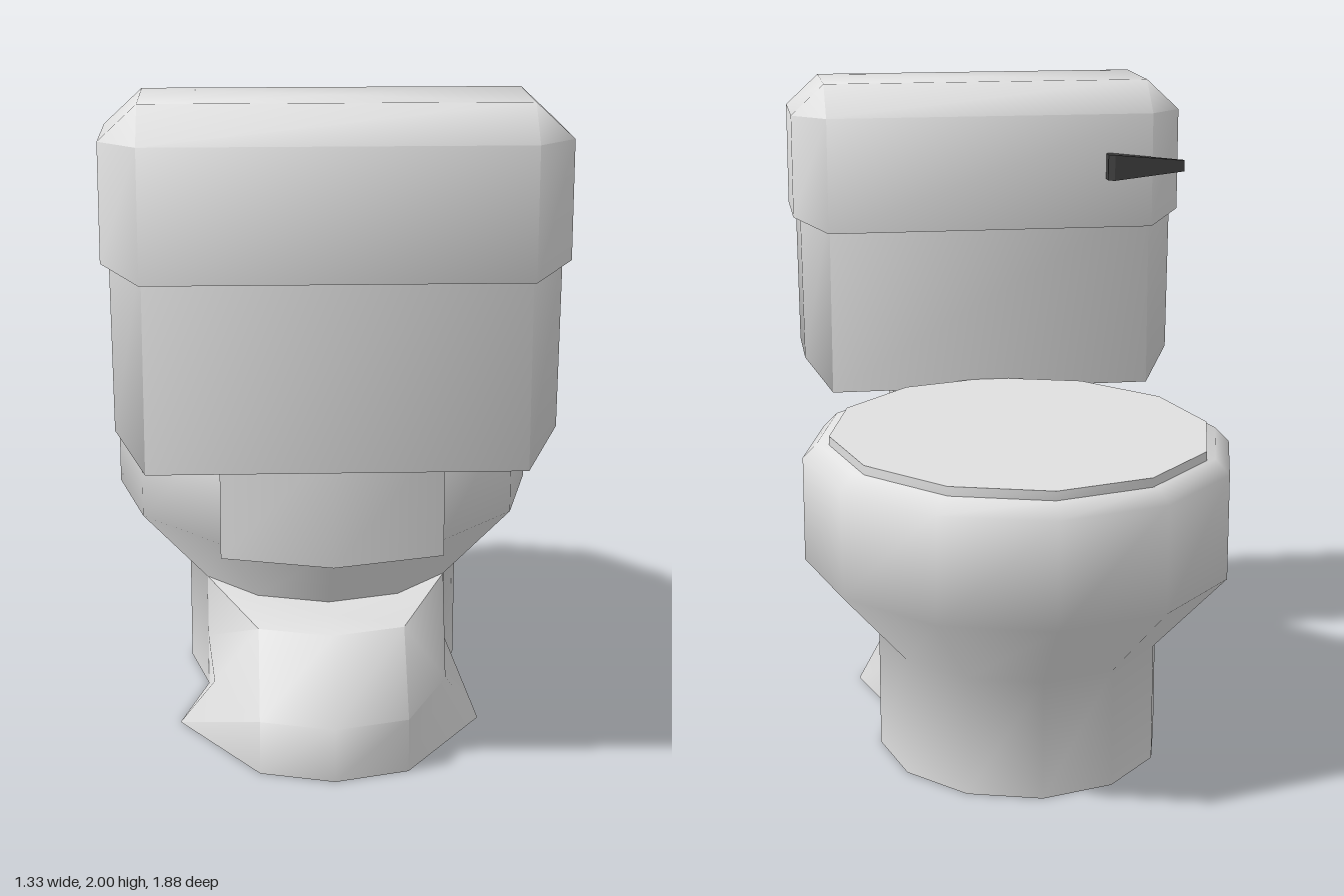
import * as THREE from 'three';
import { toCreasedNormals } from 'three/addons/utils/BufferGeometryUtils.js';

// Skin closed rings of [x, y, z], ordered +z to +x, from bottom to top.
function loft(rings, crease = 0.95, capTop = true) {
  const pos = [];
  const tri = (...corners) => {
    const [a, b, c] = corners.map((p) => new THREE.Vector3(...p));
    const area = b.clone().sub(a).cross(c.clone().sub(a)).length();
    if (area > 1e-6) corners.forEach((p) => pos.push(...p));
  };
  const centre = (ring) => [0, 1, 2].map((k) => ring.reduce((s, p) => s + p[k], 0) / ring.length);
  const n = rings[0].length;
  const first = rings[0], last = rings[rings.length - 1];
  const c0 = centre(first), c1 = centre(last);
  for (let i = 0; i < n; i++) {
    const j = (i + 1) % n;
    for (let r = 0; r < rings.length - 1; r++) {
      const lo = rings[r], hi = rings[r + 1];
      tri(lo[i], lo[j], hi[j]);
      tri(lo[i], hi[j], hi[i]);
    }
    tri(first[j], first[i], c0);
    if (capTop) tri(last[i], last[j], c1);
  }
  const geo = new THREE.BufferGeometry();
  geo.setAttribute('position', new THREE.Float32BufferAttribute(pos, 3));
  return toCreasedNormals(geo, crease);
}

// Twelve-sided oval ring.
function oval(y, rx, rz, zc) {
  return Array.from({ length: 12 }, (_, i) => {
    const a = (i * Math.PI) / 6;
    return [rx * Math.sin(a), y, zc + rz * Math.cos(a)];
  });
}

// Ring mirrored in x from its right half [x, z]; the first point is on the axis.
function mirrored(y, half) {
  const right = half.map(([x, z]) => [x, y, z]);
  const left = half.slice(1).reverse().map(([x, z]) => [-x, y, z]);
  return [...right, ...left];
}

// Chamfered rectangle: inner corners (xi, zo) at yi, outer corners (xo, zi) at yo.
function octagon(xi, xo, zi, zo, yi, yo, zc) {
  return [
    [xi, yi, zc + zo], [xo, yo, zc + zi], [xo, yo, zc - zi], [xi, yi, zc - zo],
    [-xi, yi, zc - zo], [-xo, yo, zc - zi], [-xo, yo, zc + zi], [-xi, yi, zc + zo],
  ];
}

export function createModel() {
  const group = new THREE.Group();
  const porcelain = new THREE.MeshStandardMaterial({ color: 0xe0e0e0 });
  porcelain.name = 'porcelain';
  const darkMetal = new THREE.MeshStandardMaterial({ color: 0x404040 });
  darkMetal.name = 'darkMetal';

  const add = (name, geometry, material = porcelain) => {
    const mesh = new THREE.Mesh(geometry, material);
    mesh.name = name;
    group.add(mesh);
  };

  // Pedestal and bowl in one flowing shape
  add('bowl', loft([
    oval(0, 0.44, 0.49, -0.2),
    oval(0.37, 0.44, 0.49, -0.2),
    oval(0.62, 0.665, 0.74, -0.2),
    oval(0.945, 0.665, 0.74, -0.2),
    oval(0.99, 0.62, 0.695, -0.2),
  ]));

  // Closed seat cover
  add('seatCover', loft([
    oval(0.98, 0.585, 0.665, -0.23),
    oval(1.018, 0.585, 0.665, -0.23),
  ]));

  // Shelf joining the bowl to the tank
  const shelf = [[0, 0.665], [0.33, 0.57], [0.33, 0.3]];
  add('tankShelf', loft([mirrored(0.62, shelf), mirrored(0.988, shelf)]));

  // Foot spreading out under the tank
  add('foot', loft([
    mirrored(0, [[0, 0.79], [0.22, 0.725], [0.465, 0.35], [0.38, 0.045]]),
    mirrored(0.165, [[0, 0.79], [0.22, 0.725], [0.356, 0.417], [0.38, 0.045]]),
    mirrored(0.37, [[0, 0.57], [0.22, 0.505], [0.22, 0.505], [0.38, 0.045]]),
  ]));

  // Water tank, open where the lid covers it
  const zc = 0.665;
  add('tank', loft([
    octagon(0.53, 0.615, 0.15, 0.248, 0.99, 1.09, zc),
    octagon(0.53, 0.62, 0.15, 0.248, 1.6, 1.6, zc),
  ], 1.75, false));

  // Tank lid: lip underneath, straight sides, bevelled top
  add('tankLid', loft([
    octagon(0.51, 0.6, 0.14, 0.24, 1.53, 1.57, zc),
    octagon(0.535, 0.643, 0.165, 0.273, 1.527, 1.567, zc),
    octagon(0.535, 0.643, 0.165, 0.273, 1.9, 1.9, zc),
    octagon(0.535, 0.535, 0.165, 0.165, 2, 2, zc),
  ]));

  // Flush lever tapering outwards: sections [x, half height, near z, far z]
  const lever = [[-0.635, 0.018, 0.358, 0.372], [-0.4, 0.042, 0.342, 0.392], [-0.38, 0.042, 0.352, 0.4]];
  add('flushLever', loft(lever.map(([x, h, z0, z1]) => [
    [x, 1.73 - h, z0], [x, 1.73 + h, z0], [x, 1.73 + h, z1], [x, 1.73 - h, z1],
  ]), 0.4), darkMetal);

  return group;
}
